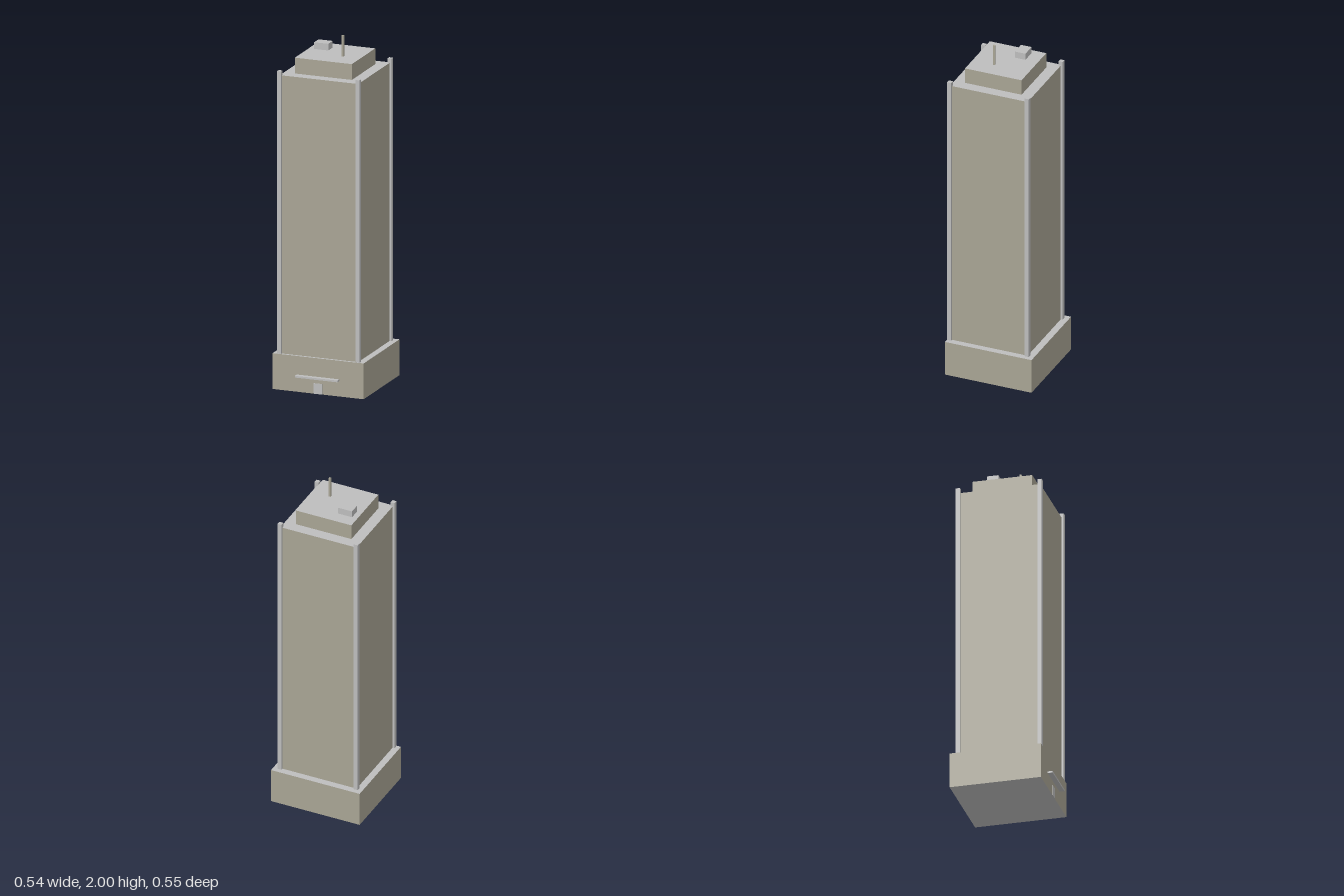
import * as THREE from 'three';

const wall = new THREE.MeshStandardMaterial({ color: 0xa8a494 });
wall.name = 'stone wall';
const grey = new THREE.MeshStandardMaterial({ color: 0xbdbdbd });
grey.name = 'light grey concrete';

// Stone sides with grey top and underside (+x, -x, +y, -y, +z, -z)
const roofed = [wall, wall, grey, grey, wall, wall];

export function createModel() {
  const model = new THREE.Group();
  model.name = 'officeTower';

  // Box given by its limits on each axis
  function block(name, [x0, x1], [y0, y1], [z0, z1], material) {
    const mesh = new THREE.Mesh(new THREE.BoxGeometry(x1 - x0, y1 - y0, z1 - z0), material);
    mesh.position.set((x0 + x1) / 2, (y0 + y1) / 2, (z0 + z1) / 2);
    mesh.name = name;
    model.add(mesh);
  }

  // Stacked masses
  block('podium', [-0.269, 0.271], [0, 0.204], [-0.274, 0.244], roofed);
  block('towerShaft', [-0.231, 0.233], [0.204, 1.79], [-0.234, 0.23], roofed);
  block('penthouse', [-0.168, 0.17], [1.79, 1.88], [-0.17, 0.168], roofed);

  // Corner piers rising just past the main roof
  for (const x of [-0.231, 0.233]) {
    for (const z of [-0.234, 0.23]) {
      block('cornerPier', [x - 0.012, x + 0.012], [0.204, 1.815], [z - 0.012, z + 0.012], grey);
    }
  }

  // Rooftop equipment
  block('ventilationUnit', [-0.136, -0.052], [1.88, 1.918], [-0.096, -0.033], grey);
  block('antenna', [0.059, 0.07], [1.88, 2], [0.034, 0.045], wall);

  // Entrance
  block('entranceCanopy', [-0.125, 0.127], [0.088, 0.098], [0.244, 0.272], grey);
  block('entranceDoor', [-0.024, 0.026], [0, 0.06], [0.242, 0.246], grey);

  return model;
}
